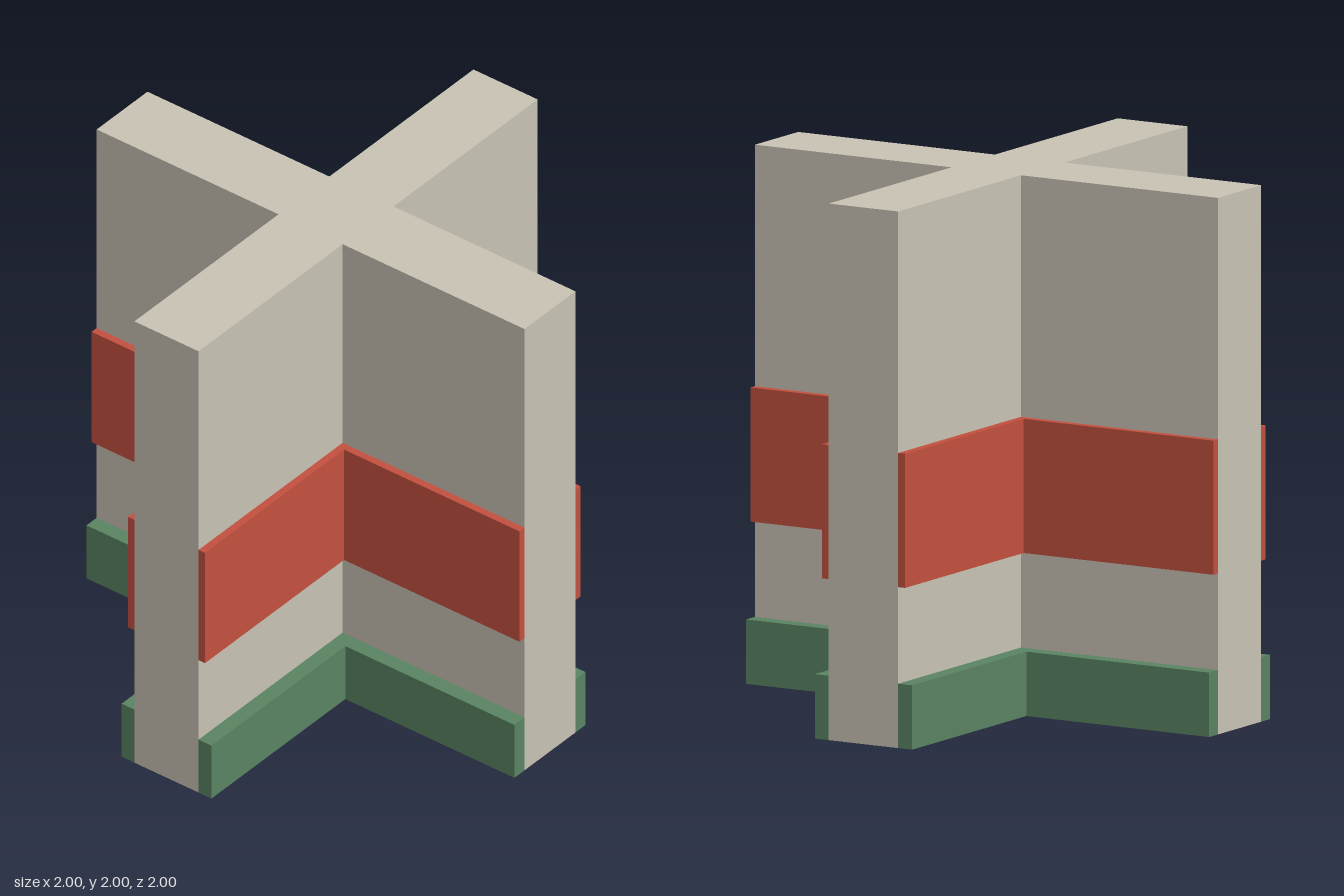
import * as THREE from 'three';

const HALF = 0.15; // half wall thickness
const END = 1;     // wall ends

// Extrude a plan outline upwards from y0 to y1
function prism(points, y0, y1) {
  const shape = new THREE.Shape(points.map(([x, y]) => new THREE.Vector2(x, y)));
  const geometry = new THREE.ExtrudeGeometry(shape, { depth: y1 - y0, bevelEnabled: false });
  return geometry.rotateX(-Math.PI / 2).translate(0, y0, 0);
}

// L-shaped strip lining one inner corner of the crossing walls
function cornerStrip(outer, y0, y1) {
  return prism([
    [HALF, HALF], [END, HALF], [END, outer],
    [outer, outer], [outer, END], [HALF, END],
  ], y0, y1);
}

export function createModel() {
  const plaster = new THREE.MeshStandardMaterial({ name: 'plaster', color: 0xc9c3b5 });
  const red = new THREE.MeshStandardMaterial({ name: 'red', color: 0xc4513f });
  const green = new THREE.MeshStandardMaterial({ name: 'green', color: 0x5a8462 });
  const model = new THREE.Group();
  model.name = 'crossWall';

  // Cross-shaped wall, full height
  const h = HALF, e = END;
  const walls = new THREE.Mesh(prism([
    [h, h], [h, e], [-h, e], [-h, h], [-e, h], [-e, -h],
    [-h, -h], [-h, -e], [h, -e], [h, -h], [e, -h], [e, h],
  ], 0, 2), plaster);
  walls.name = 'walls';
  model.add(walls);

  // Raised band and skirting in each of the four corners
  const bandGeometry = cornerStrip(0.18, 0.6, 1.1);
  const skirtingGeometry = cornerStrip(0.21, 0, 0.24);
  for (let i = 0; i < 4; i++) {
    const band = new THREE.Mesh(bandGeometry, red);
    band.name = `band${i + 1}`;
    const skirting = new THREE.Mesh(skirtingGeometry, green);
    skirting.name = `skirting${i + 1}`;
    band.rotation.y = skirting.rotation.y = i * Math.PI / 2;
    model.add(band, skirting);
  }
  return model;
}
